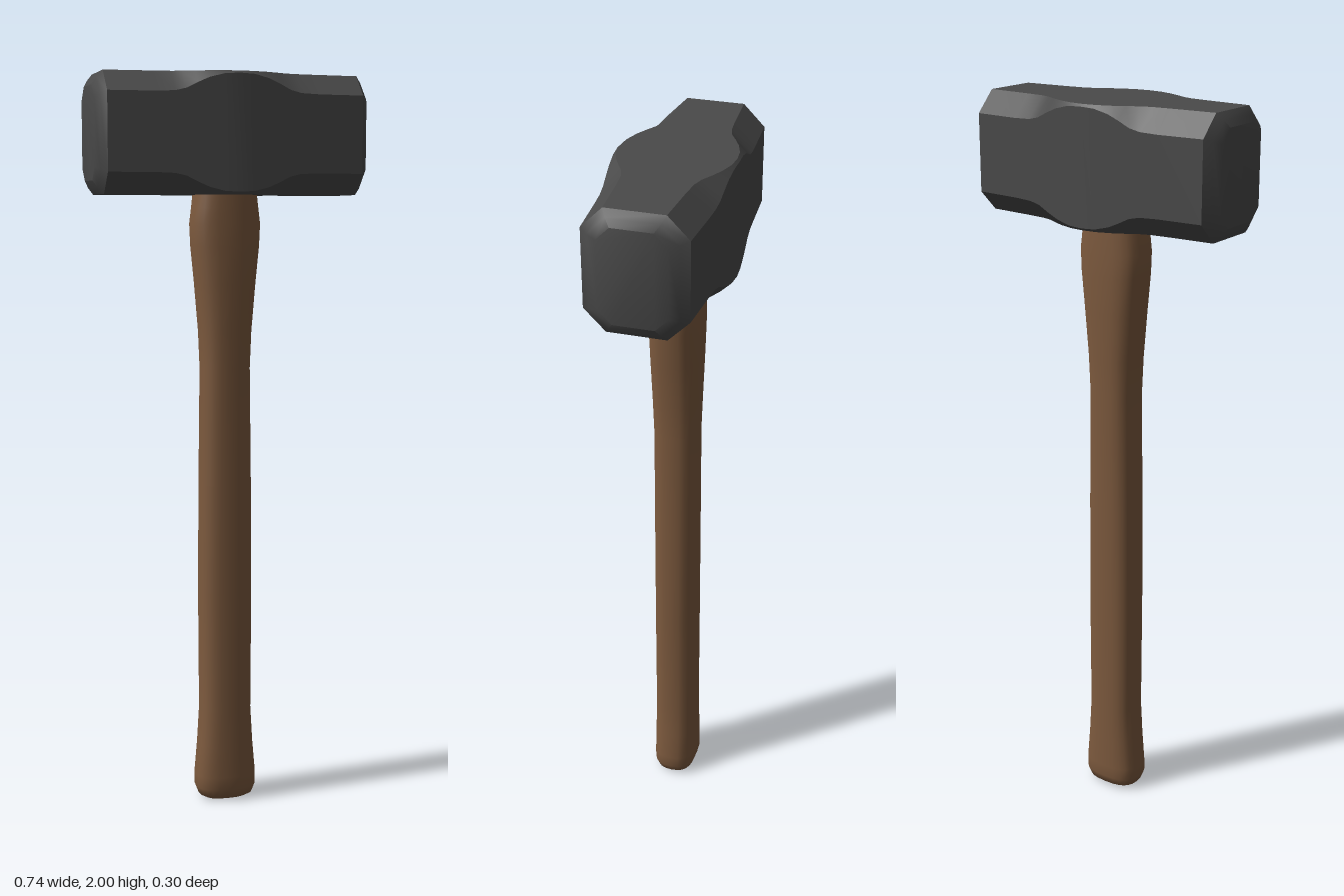
import * as THREE from 'three';
import { toCreasedNormals } from 'three/addons/utils/BufferGeometryUtils.js';

// Skin a list of equally sized rings and close both ends
function loft(rings, crease) {
  const n = rings[0].length;
  const pos = [], idx = [];
  rings.forEach((r) => r.forEach((p) => pos.push(...p)));
  for (let i = 0; i < rings.length - 1; i++) {
    for (let j = 0; j < n; j++) {
      const k = (j + 1) % n;
      const a = i * n + j, b = i * n + k, c = a + n, d = b + n;
      idx.push(a, b, d, a, d, c);
    }
  }
  const last = (rings.length - 1) * n;
  for (let j = 1; j < n - 1; j++) {
    idx.push(0, j + 1, j);
    idx.push(last, last + j, last + j + 1);
  }
  const g = new THREE.BufferGeometry();
  g.setAttribute('position', new THREE.Float32BufferAttribute(pos, 3));
  g.setIndex(idx);
  return toCreasedNormals(g, crease);
}

export function createModel() {
  const iron = new THREE.MeshStandardMaterial({ color: 0x4a4a4a });
  iron.name = 'dark iron';
  const wood = new THREE.MeshStandardMaterial({ color: 0x7d5a3e });
  wood.name = 'brown wood';
  const group = new THREE.Group();
  group.name = 'sledgehammer';

  // Head: bevelled sections along x [x, half height, half depth, bevel]
  const half = [
    [0, 0.157, 0.152, 0.006],
    [0.04, 0.157, 0.15, 0.008],
    [0.08, 0.157, 0.147, 0.018],
    [0.11, 0.157, 0.145, 0.031],
    [0.14, 0.157, 0.143, 0.046],
    [0.17, 0.157, 0.141, 0.053],
    [0.22, 0.157, 0.138, 0.055],
    [0.345, 0.157, 0.13, 0.055],
    [0.36, 0.14, 0.11, 0.045],
    [0.371, 0.122, 0.086, 0.034],
  ];
  const sections = [
    ...half.slice(1).reverse().map(([x, ...s]) => [-x, ...s]),
    ...half,
  ];
  const headRings = sections.map(([x, h, d, c]) => [
    [h, -d + c], [h, d - c], [h - c, d], [-h + c, d],
    [-h, d - c], [-h, -d + c], [-h + c, -d], [h - c, -d],
  ].map(([y, z]) => [x, 1.843 + y, z]));
  const head = new THREE.Mesh(loft(headRings, 0.5), iron);
  head.name = 'hammerHead';
  group.add(head);

  // Handle: rounded oval sections along y [y, half width, half depth]
  const profile = [
    [0.003, 0.06, 0.042], [0.012, 0.076, 0.055], [0.035, 0.085, 0.062],
    [0.07, 0.085, 0.062], [0.16, 0.077, 0.061], [0.26, 0.071, 0.06],
    [0.6, 0.073, 0.06], [0.9, 0.071, 0.06], [1.22, 0.067, 0.06],
    [1.32, 0.071, 0.063], [1.45, 0.082, 0.067], [1.55, 0.092, 0.069],
    [1.61, 0.095, 0.068], [1.65, 0.09, 0.067], [1.72, 0.082, 0.065],
  ];
  const sides = 24;
  const soften = (v) => Math.sign(v) * Math.pow(Math.abs(v), 0.75);
  const handleRings = profile.map(([y, w, d]) => Array.from({ length: sides }, (_, i) => {
    const a = (i / sides) * Math.PI * 2;
    return [w * soften(Math.cos(a)), y, -d * soften(Math.sin(a))];
  }));
  // Lower the middle of the butt slightly so that it is gently domed
  handleRings.unshift(handleRings[0].map(([x, , z]) => [x * 0.6, 0, z * 0.6]));
  const handle = new THREE.Mesh(loft(handleRings, 0.9), wood);
  handle.name = 'handle';
  group.add(handle);

  return group;
}
